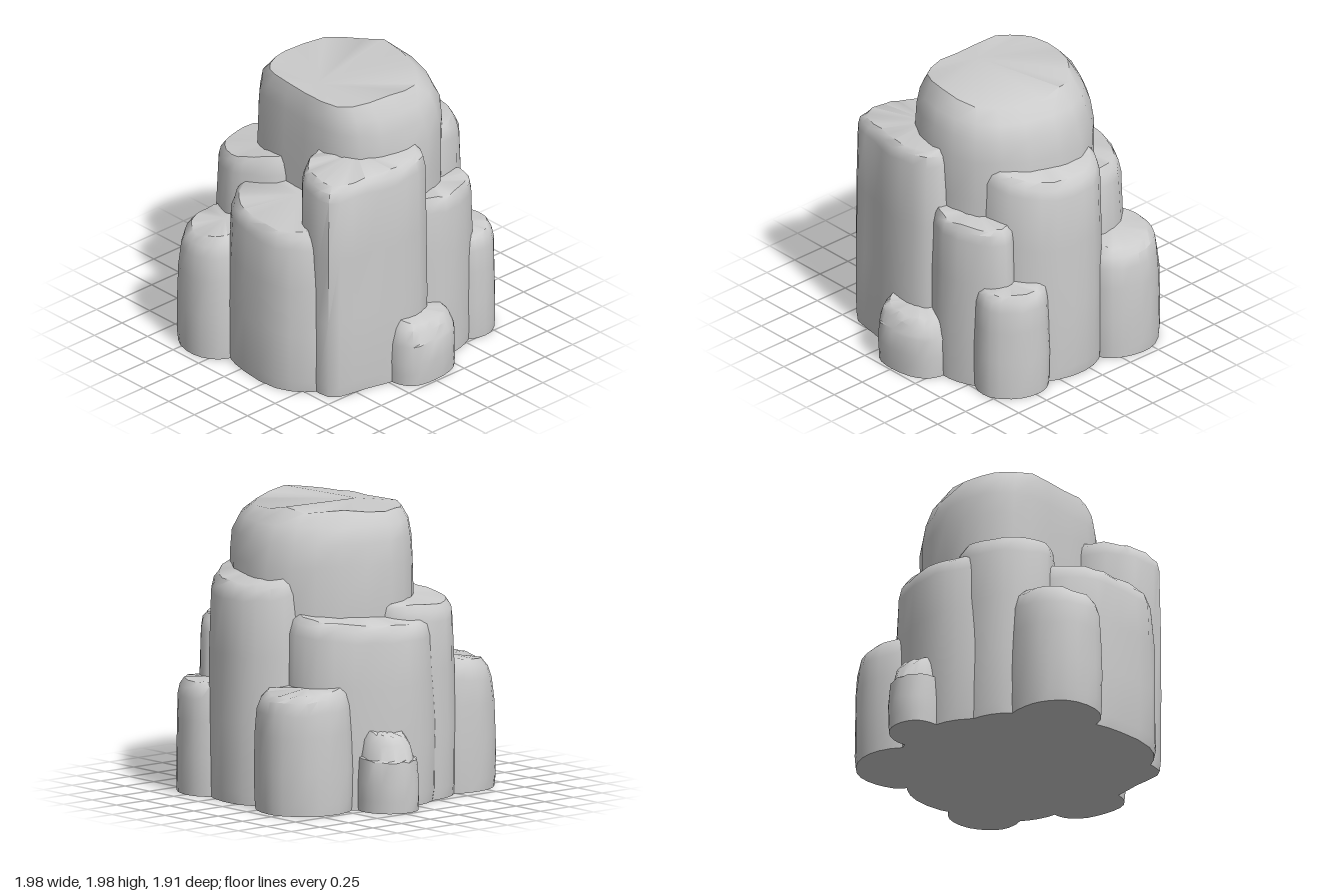
import * as THREE from 'three';
import { toCreasedNormals } from 'three/addons/utils/BufferGeometryUtils.js';

const material = new THREE.MeshStandardMaterial({ color: 0xcccccc });
const SIDES = 22;

// Small seeded generator for the weathered surface
function seeded(seed) {
  return () => {
    seed = (seed * 16807) % 2147483647;
    return seed / 2147483647 - 0.5;
  };
}

// A rock column: a rounded outline (x, z) lofted upward and drawn in towards the pivot.
// rings are [height, scale]; slope tilts the top; peaks [x, z, lift] raise spots on the rim.
function column(name, o) {
  const { outline, pivot: [px, pz], h, taper = 0.03, bevel = 0.12, inset = 0.12, slope = [0, 0], peaks = [] } = o;
  const rings = o.rings || [
    [0, 0.98], [0.08, 1], [h * 0.35, 1], [h * 0.65, 1 - taper * 0.4], [h - bevel, 1 - taper],
    [h - bevel * 0.35, 1 - taper - inset * 0.35], [h, 1 - taper - inset],
  ];
  const curve = new THREE.CatmullRomCurve3(outline.map(([x, z]) => new THREE.Vector3(x, 0, z)), true);
  const noise = seeded(Math.round(h * 1000) + 17 * outline.length);
  const pos = [], index = [];
  const last = rings.length - 1;

  rings.forEach(([y, s], r) => {
    for (let i = 0; i < SIDES; i++) {
      const p = curve.getPoint(i / SIDES);
      const k = s + (r === 0 ? 0 : noise() * 0.025);
      const x = px + (p.x - px) * k, z = pz + (p.z - pz) * k;
      let lift = (slope[0] * (x - px) + slope[1] * (z - pz)) * (y / h) ** 4;
      if (r > 1) lift += noise() * 0.02;
      if (r === last) {
        for (const [ax, az, l] of peaks) lift += l * Math.max(0, 1 - Math.hypot(x - ax, z - az) / 0.2);
      }
      pos.push(x, y + lift, z);
    }
  });
  for (let r = 0; r < last; r++) {
    for (let i = 0; i < SIDES; i++) {
      const a = r * SIDES + i, b = r * SIDES + (i + 1) % SIDES;
      index.push(a, b, b + SIDES, a, b + SIDES, a + SIDES);
    }
  }
  // Top and bottom caps
  const top = pos.length / 3;
  pos.push(px, h, pz, px, 0, pz);
  for (let i = 0; i < SIDES; i++) {
    const j = (i + 1) % SIDES;
    index.push(top, last * SIDES + i, last * SIDES + j, top + 1, j, i);
  }
  const geo = new THREE.BufferGeometry();
  geo.setAttribute('position', new THREE.Float32BufferAttribute(pos, 3));
  geo.setIndex(index);
  const mesh = new THREE.Mesh(toCreasedNormals(geo, 0.75), material);
  mesh.name = name;
  return mesh;
}

export function createModel() {
  const group = new THREE.Group();
  group.name = 'rockFormation';
  const columns = {
    // Tall core with a flat, chipped summit
    mainColumn: {
      outline: [[-0.56, 0], [-0.5, 0.22], [-0.36, 0.34], [0, 0.365], [0.35, 0.365], [0.55, 0.25], [0.66, -0.05],
        [0.61, -0.38], [0.38, -0.6], [0, -0.7], [-0.3, -0.58], [-0.47, -0.33]],
      pivot: [0.04, 0.2], h: 1.94,
      rings: [[0, 1], [0.9, 1], [1.3, 1], [1.6, 1], [1.75, 0.97], [1.86, 0.92], [1.94, 0.8]],
      peaks: [[-0.42, -0.35, 0.06], [-0.05, -0.5, 0.04], [0.5, 0, 0.05]],
    },
    // Tall ring of slabs around the core
    frontColumn: {
      outline: [[-0.4, 0.4], [-0.35, 0.62], [-0.19, 0.79], [-0.02, 0.85], [0.33, 0.87], [0.53, 0.76], [0.61, 0.6],
        [0.58, 0.3], [0.1, 0], [-0.3, 0.1]],
      pivot: [0.1, 0.42], h: 1.21, slope: [0, -0.12], taper: 0.05,
    },
    rightTallColumn: {
      outline: [[0.21, 0.35], [0.32, 0.6], [0.46, 0.68], [0.7, 0.68], [0.77, 0.42], [0.83, 0.12], [0.75, -0.15], [0.4, -0.15]],
      pivot: [0.45, 0.22], h: 1.6, slope: [-0.04, -0.06], taper: 0.02, bevel: 0.1,
    },
    leftFrontColumn: {
      outline: [[-0.74, 0.27], [-0.65, 0.48], [-0.42, 0.58], [-0.24, 0.52], [-0.06, 0.35], [-0.1, 0], [-0.5, -0.1], [-0.7, 0.05]],
      pivot: [-0.35, 0.22], h: 1.36, slope: [0.15, -0.05], taper: 0.04,
    },
    leftWideColumn: {
      outline: [[-0.82, -0.05], [-0.78, 0.15], [-0.6, 0.35], [-0.2, 0.3], [0, -0.2], [-0.14, -0.6], [-0.3, -0.67],
        [-0.52, -0.62], [-0.72, -0.36]],
      pivot: [-0.42, -0.15], h: 1.27, slope: [0.15, 0], taper: 0.05,
    },
    backColumn: {
      outline: [[-0.28, -0.5], [-0.2, -0.25], [0.2, -0.1], [0.5, -0.25], [0.56, -0.45], [0.52, -0.64], [0.35, -0.82],
        [0.1, -0.89], [-0.1, -0.85], [-0.26, -0.7]],
      pivot: [0.14, -0.45], h: 1.57, slope: [0, 0.25], taper: 0.04,
    },
    rightBackColumn: {
      outline: [[0.35, -0.3], [0.45, -0.1], [0.7, -0.08], [0.79, -0.25], [0.77, -0.46], [0.63, -0.67], [0.5, -0.68]],
      pivot: [0.55, -0.35], h: 1.2, slope: [-0.06, 0.06], bevel: 0.1, taper: 0.04,
    },
    // Low boulders at the foot
    frontLeftBoulder: {
      outline: [[-0.68, 0.6], [-0.66, 0.77], [-0.55, 0.91], [-0.34, 0.95], [-0.19, 0.87], [-0.14, 0.7], [-0.25, 0.4], [-0.6, 0.4]],
      pivot: [-0.4, 0.62], h: 0.9, slope: [0.06, -0.15], taper: 0.07, bevel: 0.14, inset: 0.22,
    },
    backLeftBoulder: {
      outline: [[-0.73, -0.6], [-0.62, -0.38], [-0.3, -0.35], [-0.13, -0.6], [-0.15, -0.84], [-0.3, -0.94], [-0.5, -0.95], [-0.68, -0.81]],
      pivot: [-0.43, -0.62], h: 0.82, slope: [0, 0.12], taper: 0.05, bevel: 0.13, inset: 0.2,
    },
    backRightBoulder: {
      outline: [[0.28, -0.7], [0.35, -0.5], [0.6, -0.45], [0.74, -0.55], [0.76, -0.72], [0.62, -0.87], [0.44, -0.9], [0.32, -0.83]],
      pivot: [0.53, -0.67], h: 0.77, slope: [-0.05, 0.05], taper: 0.05, bevel: 0.11, inset: 0.2,
    },
    leftSmallBoulder: {
      outline: [[-0.99, -0.2], [-0.95, -0.09], [-0.84, -0.04], [-0.65, -0.06], [-0.6, -0.25], [-0.68, -0.4], [-0.83, -0.41], [-0.95, -0.33]],
      pivot: [-0.7, -0.22], h: 0.54, slope: [0.25, 0], taper: 0.14, bevel: 0.18, inset: 0.28,
    },
    rightSmallBoulder: {
      outline: [[0.65, 0], [0.68, 0.2], [0.85, 0.23], [0.96, 0.16], [0.99, 0], [0.95, -0.2], [0.85, -0.29], [0.68, -0.28]],
      pivot: [0.74, -0.02], h: 0.45, slope: [-0.18, 0.08], taper: 0.05, bevel: 0.13, inset: 0.22,
    },
  };
  for (const [name, options] of Object.entries(columns)) group.add(column(name, options));
  return group;
}
